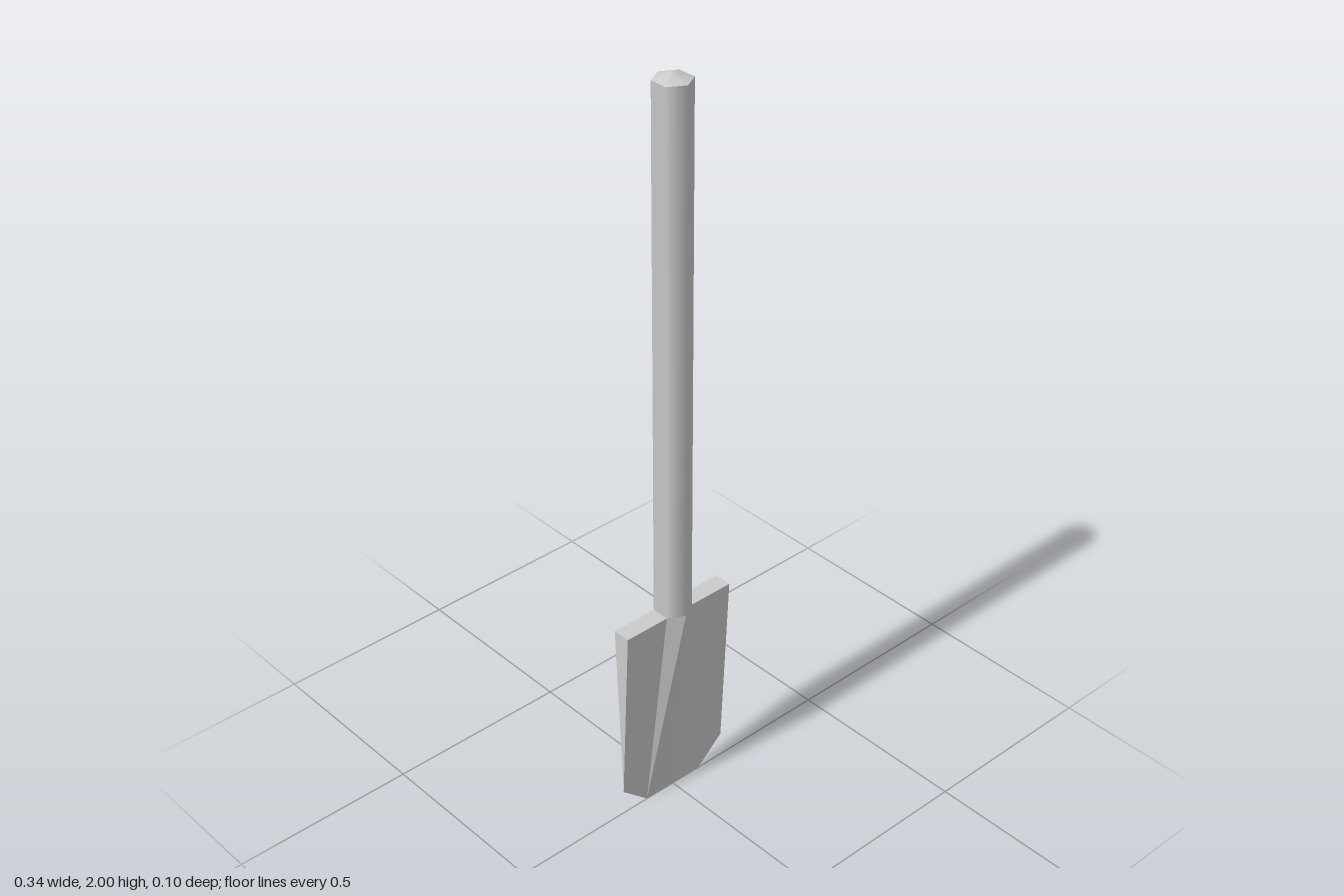
import * as THREE from 'three';

const TOP = 0.575;      // height where the blade meets the shaft
const SHOULDER = 1.983; // height where the shaft's tip starts
const R = 0.048;        // hexagonal shaft radius
const FLAT = R * Math.sin(Math.PI / 3);
const material = new THREE.MeshStandardMaterial({ color: 0xcccccc });

function add(parent, name, geometry, y = 0) {
  const mesh = new THREE.Mesh(geometry, material);
  mesh.name = name;
  mesh.position.y = y;
  parent.add(mesh);
}

// Wedge blade: a ridged section at the top narrowing to a sharp, clipped edge
function bladeGeometry() {
  const w = 0.169, t = R / 2;
  const half = [[w, t], [FLAT, t], [0, R], [-FLAT, t], [-w, t]];
  const ring = [...half, ...half.map(([x, z]) => [-x, -z])];
  const top = ring.map(([x, z]) => [x, TOP, z]);
  const bottom = ring.map(([x]) => {
    const s = Math.sign(x);
    return Math.abs(x) === w ? [s * w, 0.07, 0] : [s * 0.09, 0, 0];
  });
  const p = [];
  for (let i = 0; i < ring.length; i++) {
    const j = (i + 1) % ring.length;
    p.push(...top[i], ...top[j], ...bottom[j]);
    // the outer sides end in a point, so they need one triangle only
    if (i % 5 !== 4) p.push(...top[i], ...bottom[j], ...bottom[i]);
    p.push(0, TOP, 0, ...top[j], ...top[i]);
  }
  const g = new THREE.BufferGeometry();
  g.setAttribute('position', new THREE.Float32BufferAttribute(p, 3));
  g.computeVertexNormals();
  return g;
}

export function createModel() {
  const group = new THREE.Group();
  group.name = 'spade';

  add(group, 'blade', bladeGeometry());

  // Hexagonal shaft: five smooth sides and one crisp flat side
  const shaft = new THREE.Group();
  shaft.name = 'shaft';
  group.add(shaft);
  const length = SHOULDER - TOP, mid = (SHOULDER + TOP) / 2;
  add(shaft, 'shaftSides', new THREE.CylinderGeometry(R, R, length, 5, 1, true, Math.PI * 2 / 3, Math.PI * 5 / 3), mid);
  const flat = new THREE.PlaneGeometry(R, length);
  flat.rotateY(Math.PI / 2).translate(FLAT, 0, 0);
  add(shaft, 'shaftFlatSide', flat, mid);

  // Low pointed tip
  const tip = 2 - SHOULDER;
  add(shaft, 'shaftTip', new THREE.ConeGeometry(R, tip, 6, 1, true), SHOULDER + tip / 2);

  return group;
}
